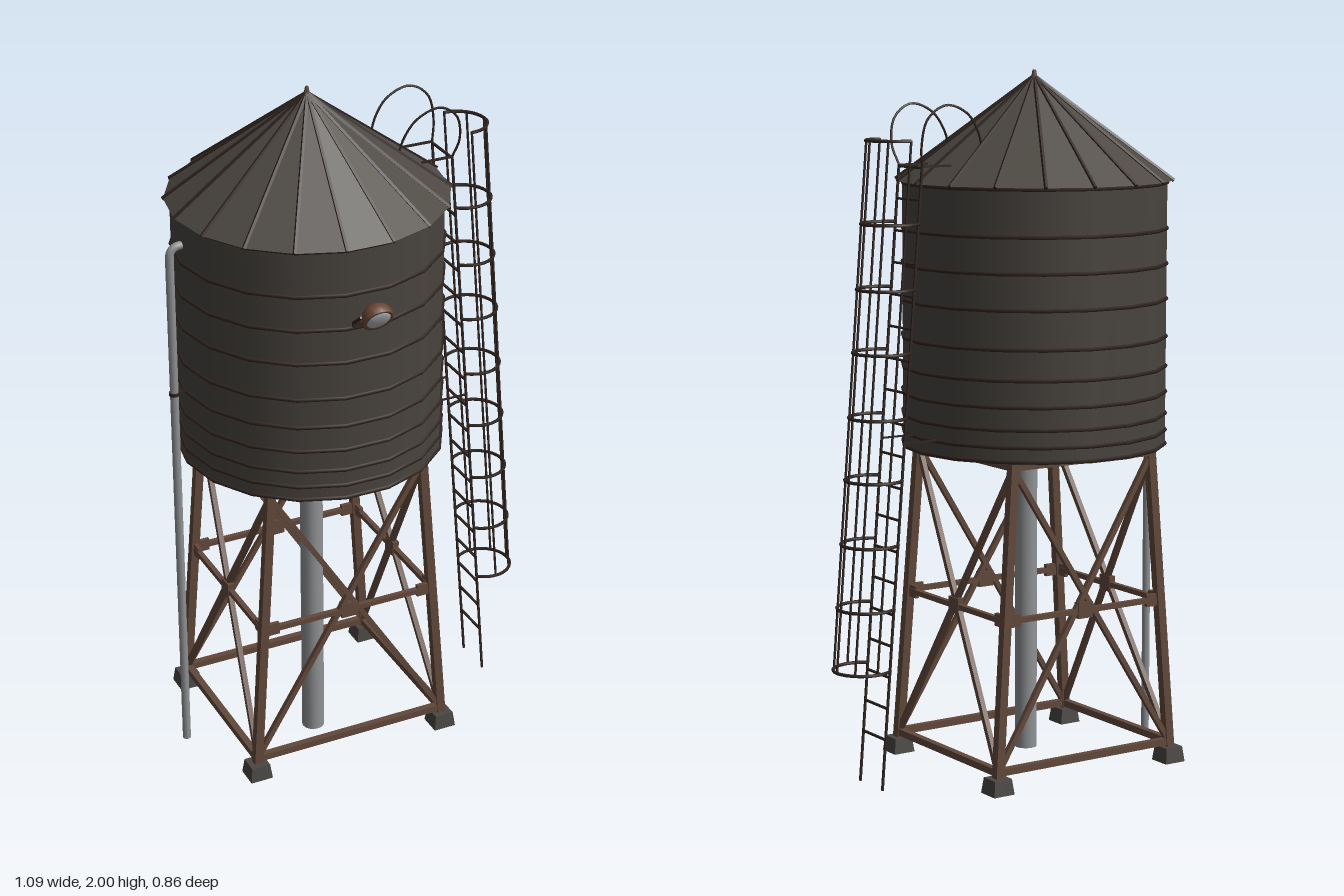
import * as THREE from 'three';

const CX = -0.12, CZ = -0.035, SIDES = 18;

const mat = (name, color, extra = {}) => {
  const m = new THREE.MeshStandardMaterial({ color, ...extra });
  m.name = name;
  return m;
};

export function createModel() {
  const model = new THREE.Group();
  model.name = 'waterTower';
  const tankMat = mat('weatheredWood', 0x48443f);
  const roofMat = mat('roofSheet', 0x4d4842, { flatShading: true });
  const rust = mat('rustedSteel', 0x62483b);
  const dark = mat('darkIron', 0x30241f);
  const pipeMat = mat('galvanisedPipe', 0x909294);
  const stone = mat('footConcrete', 0x4a4743);
  const lampMat = mat('lampBrown', 0x6a4636);
  const lensMat = mat('lampGlass', 0xb4b8bb);

  const V = (x, y, z) => new THREE.Vector3(x, y, z);
  const group = (name) => {
    const g = new THREE.Group();
    g.name = name;
    model.add(g);
    return g;
  };
  const put = (parent, name, geo, material, x = 0, y = 0, z = 0) => {
    const m = new THREE.Mesh(geo, material);
    m.name = name;
    m.position.set(x, y, z);
    parent.add(m);
    return m;
  };
  // Square bar between two points
  const bar = (parent, name, a, b, w, material, d = w) => {
    const dir = b.clone().sub(a);
    const m = put(parent, name, new THREE.BoxGeometry(w, dir.length(), d), material);
    m.position.copy(a).add(b).multiplyScalar(0.5);
    m.quaternion.setFromUnitVectors(V(0, 1, 0), dir.normalize());
    return m;
  };
  const tube = (parent, name, pts, r, material, seg = 24, sides = 5) =>
    put(parent, name, new THREE.TubeGeometry(new THREE.CatmullRomCurve3(pts), seg, r, sides), material);

  // Tank with hoops packed closer towards the bottom
  const tank = group('tank');
  tank.position.set(CX, 0, CZ);
  put(tank, 'tankWall', new THREE.CylinderGeometry(0.379, 0.379, 0.76, SIDES, 1, false, Math.PI / 2), tankMat, 0, 1.31, 0);
  for (const y of [1.685, 1.555, 1.455, 1.355, 1.247, 1.162, 1.088, 1.025, 0.977, 0.937]) {
    put(tank, 'hoop', new THREE.TorusGeometry(0.379, 0.006, 6, SIDES), dark, 0, y, 0).rotation.x = Math.PI / 2;
  }

  // Conical roof with a rib on each fold
  const roof = group('roof');
  roof.position.set(CX, 0, CZ);
  put(roof, 'roofCone', new THREE.ConeGeometry(0.396, 0.293, SIDES, 1, false, Math.PI / 2), roofMat, 0, 1.8365, 0);
  for (let i = 0; i < SIDES; i++) {
    const a = (i / SIDES) * Math.PI * 2;
    bar(roof, 'roofRib', V(Math.cos(a) * 0.398, 1.69, Math.sin(a) * 0.398), V(0, 1.983, 0), 0.008, dark);
  }
  put(roof, 'finial', new THREE.CylinderGeometry(0.005, 0.012, 0.035, 8), rust, 0, 1.9825, 0);

  // Stand: four leaning legs, rails, cross braces and gussets
  const stand = group('stand');
  stand.position.set(CX, 0, CZ);
  const corner = (sx, sz, y) => {
    const t = (y - 0.04) / 0.88;
    return V(sx * (0.3 - 0.064 * t), y, sz * (0.263 - 0.019 * t));
  };
  const corners = [[1, 1], [-1, 1], [-1, -1], [1, -1]];
  corners.forEach(([sx, sz], i) => {
    const [nx, nz] = corners[(i + 1) % 4];
    const at = (y) => corner(sx, sz, y);
    const next = (y) => corner(nx, nz, y);
    bar(stand, 'leg', at(0.03), at(0.93), 0.025, rust);
    const foot = put(stand, 'foot', new THREE.CylinderGeometry(0.04, 0.048, 0.045, 4, 1, false, Math.PI / 4), stone, sx * 0.3, 0.0225, sz * 0.263);
    foot.material.flatShading = true;
    bar(stand, 'bottomRail', at(0.06), next(0.06), 0.02, rust);
    bar(stand, 'middleRail', at(0.485), next(0.485), 0.015, rust);
    bar(stand, 'topRail', at(0.918), next(0.918), 0.022, rust);
    bar(stand, 'brace', at(0.06), next(0.91), 0.015, rust);
    bar(stand, 'brace', next(0.06), at(0.91), 0.015, rust);
    // Plates lie in the plane of each side
    const turn = sx === nx ? Math.PI / 2 : 0;
    const mid = at(0.485).add(next(0.485)).multiplyScalar(0.5);
    put(stand, 'centreGusset', new THREE.BoxGeometry(0.05, 0.046, 0.02), rust, mid.x, 0.487, mid.z).rotation.y = turn;
    for (const [p, q] of [[at(0.485), next(0.485)], [next(0.485), at(0.485)]]) {
      const c = p.lerp(q, 0.055);
      put(stand, 'legGusset', new THREE.BoxGeometry(0.036, 0.036, 0.012), rust, c.x, c.y, c.z).rotation.y = turn;
    }
  });

  // Supply pipe under the tank and overflow pipe at the side
  const pipes = group('pipes');
  put(pipes, 'supplyPipe', new THREE.CylinderGeometry(0.033, 0.033, 0.935, 16), pipeMat, -0.164, 0.4675, 0.065);
  put(pipes, 'overflowPipe', new THREE.CylinderGeometry(0.012, 0.012, 1.57, 10), pipeMat, -0.533, 0.785, CZ);
  tube(pipes, 'overflowElbow', [V(-0.533, 1.565, CZ), V(-0.531, 1.59, CZ), V(-0.518, 1.605, CZ), V(-0.485, 1.61, CZ)], 0.012, pipeMat, 12, 10);
  put(pipes, 'pipeClamp', new THREE.CylinderGeometry(0.015, 0.015, 0.01, 10), dark, -0.533, 1.162, CZ);
  bar(pipes, 'pipeBracket', V(-0.53, 1.162, CZ), V(-0.49, 1.162, CZ), 0.008, dark);

  // Leaning ladder
  const ladder = group('ladder');
  const lx = (y) => 0.434 - 0.0804 * y;
  const onLadder = (y, off, dz) => V(lx(y) + off, y, CZ + dz);
  for (const s of [-1, 1]) {
    bar(ladder, 'stringer', onLadder(0, 0, s * 0.06), onLadder(1.745, 0, s * 0.06), 0.006, dark);
    bar(ladder, 'tankStay', V(0.25, 0.98, CZ + s * 0.06), onLadder(0.98, 0, s * 0.06), 0.005, dark);
    bar(ladder, 'roofStay', V(0.2, 1.742, CZ + s * 0.06), onLadder(1.742, 0, s * 0.06), 0.006, dark);
    // Grab rail looping over onto the roof
    tube(ladder, 'grabRail', [V(0.294, 1.742, CZ + s * 0.06), V(0.307, 1.8, CZ + s * 0.078), V(0.292, 1.872, CZ + s * 0.086),
      V(0.235, 1.909, CZ + s * 0.09), V(0.165, 1.885, CZ + s * 0.09), V(0.128, 1.835, CZ + s * 0.087), V(0.112, 1.785, CZ + s * 0.084)], 0.0035, dark);
  }
  for (let y = 0.145; y < 1.74; y += 0.0885) {
    bar(ladder, 'rung', onLadder(y, 0, -0.06), onLadder(y, 0, 0.06), 0.006, dark);
  }

  // Safety cage: round hoops and five uprights
  const cage = group('safetyCage');
  const R = 0.082, OFF = 0.054;
  [0.341, 0.516, 0.696, 0.876, 1.05, 1.23, 1.405, 1.585, 1.813].forEach((y, i) => {
    const reach = i === 8 ? Math.PI / 2 : 2.3;
    const pts = [];
    for (let k = 0; k <= 16; k++) {
      const a = -reach + (2 * reach * k) / 16;
      pts.push(onLadder(y, OFF + R * Math.cos(a), R * Math.sin(a)));
    }
    tube(cage, 'cageHoop', pts, 0.005, dark, 20);
  });
  for (let k = -2; k <= 2; k++) {
    const a = (k * Math.PI) / 4;
    const off = OFF + R * Math.cos(a), dz = R * Math.sin(a);
    bar(cage, 'cageUpright', onLadder(0.338, off, dz), onLadder(1.816, off, dz), 0.005, dark);
  }

  // Floodlight on the tank front, tilted downwards
  const lamp = group('floodlight');
  lamp.position.set(CX, 1.507, 0.388);
  lamp.rotation.x = Math.PI / 2 + 0.55;
  const shell = [[0.0, -0.024], [0.025, -0.022], [0.036, -0.012], [0.042, 0.0], [0.044, 0.02], [0.037, 0.02], [0.0, 0.016]];
  put(lamp, 'lampHousing', new THREE.LatheGeometry(shell.map(([x, y]) => new THREE.Vector2(x, y)), 20), lampMat);
  put(lamp, 'lampLens', new THREE.SphereGeometry(0.036, 18, 6, 0, Math.PI * 2, 0, Math.PI / 2), lensMat, 0, 0.017, 0).scale.y = 0.25;
  const mount = group('floodlightMount');
  for (const s of [-1, 1]) {
    bar(mount, 'mountArm', V(CX + s * 0.044, 1.465, 0.335), V(CX + s * 0.044, 1.507, 0.388), 0.007, dark);
  }
  bar(mount, 'mountBase', V(CX - 0.047, 1.465, 0.342), V(CX + 0.047, 1.465, 0.342), 0.012, dark);

  return model;
}
